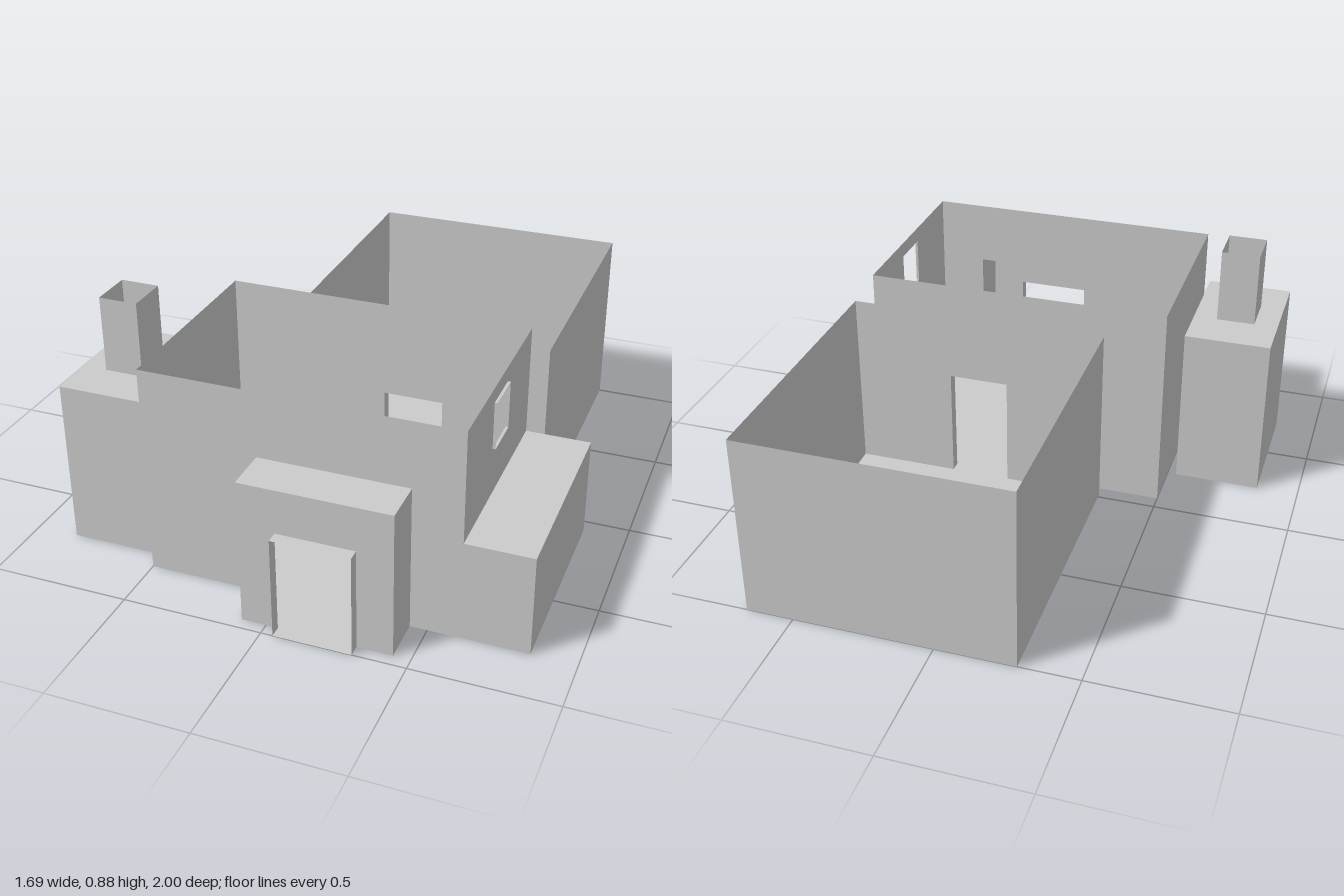
import * as THREE from 'three';

const material = new THREE.MeshStandardMaterial({ color: 0xcccccc, flatShading: true, side: THREE.DoubleSide });

// Thin flat panel in (u, v); doors notch the lower edge, windows are cut through.
function panel(u0, u1, v0, v1, doors = [], windows = []) {
  const shape = new THREE.Shape();
  shape.moveTo(u0, v0);
  for (const [a, b, top] of doors) {
    shape.lineTo(a, v0);
    shape.lineTo(a, top);
    shape.lineTo(b, top);
    shape.lineTo(b, v0);
  }
  shape.lineTo(u1, v0);
  shape.lineTo(u1, v1);
  shape.lineTo(u0, v1);
  shape.closePath();
  for (const [a, b, c, d] of windows) {
    const hole = new THREE.Path();
    hole.moveTo(a, c);
    hole.lineTo(a, d);
    hole.lineTo(b, d);
    hole.lineTo(b, c);
    hole.closePath();
    shape.holes.push(hole);
  }
  return new THREE.ShapeGeometry(shape);
}

// Box-like room of thin sheets. A side, floor or roof set to false is left open;
// an object gives its base height, doors and windows.
function room(name, [x0, x1], [y0, y1], [z0, z1], parts = {}) {
  const group = new THREE.Group();
  group.name = name;
  const add = (part, geometry) => {
    const mesh = new THREE.Mesh(geometry, material);
    mesh.name = `${name} ${part}`;
    group.add(mesh);
  };
  for (const side of ['front', 'back', 'left', 'right']) {
    const spec = parts[side] ?? {};
    if (spec === false) continue;
    const alongX = side === 'front' || side === 'back';
    const [u0, u1] = alongX ? [x0, x1] : [z0, z1];
    const geometry = panel(u0, u1, spec.base ?? y0, y1, spec.doors, spec.windows);
    if (alongX) geometry.translate(0, 0, side === 'front' ? z1 : z0);
    else geometry.rotateY(-Math.PI / 2).translate(side === 'left' ? x1 : x0, 0, 0);
    add(`${side} wall`, geometry);
  }
  for (const [part, y] of [['floor', y0], ['roof', y1]]) {
    const spec = parts[part] ?? {};
    if (spec === false) continue;
    add(part, panel(x0, x1, z0, z1, [], spec.windows).rotateX(Math.PI / 2).translate(0, y, 0));
  }
  return group;
}

export function createModel() {
  const model = new THREE.Group();
  model.name = 'house';

  // Shared opening sizes
  const porchX = [-0.087, 0.44], porchTop = 0.53;
  const doorX = [0.042, 0.316], doorTop = 0.37;
  const backPassX = [0.08, 0.3], backPassTop = 0.417;
  const sidePassZ = [0.48, 0.725], sidePassTop = 0.44;
  const windowZ = [0.353, 0.505], windowY = [0.545, 0.715];
  const flueX = [-0.76, -0.62], flueZ = [0.408, 0.563];
  const hallX = [-0.5, 0.612], hallZ = [0.057, 0.797];
  const alcoveTop = 0.367, kitchenTop = 0.605;

  model.add(
    // Main hall, open to the sky
    room('hall', hallX, [0, 0.77], hallZ, {
      roof: false,
      front: { doors: [[...porchX, porchTop]] },
      back: { doors: [[...backPassX, backPassTop]] },
      right: { doors: [[...sidePassZ, sidePassTop]] },
      left: { base: alcoveTop, windows: [[...windowZ, ...windowY]] },
    }),
    // Low roofed alcove that opens to the hall
    room('alcove', [hallX[1], 0.845], [0, alcoveTop], hallZ, { right: false }),
    // Shallow window reveal
    room('window reveal', [hallX[1], 0.622], windowY, windowZ, { left: false, right: false }),
    // Porch and door reveal
    room('porch', porchX, [0, porchTop], [hallZ[1], 0.957], {
      back: false, front: { doors: [[...doorX, doorTop]] },
    }),
    room('door reveal', doorX, [0, doorTop], [0.957, 1], { front: false, back: false }),
    // Large back room and the passage to it
    room('back passage', backPassX, [0, backPassTop], [0.015, hallZ[0]], { front: false, back: false }),
    room('back room', [-0.285, 0.67], [0, 0.675], [-1, 0.015], {
      roof: false, front: { doors: [[...backPassX, backPassTop]] },
    }),
    // Side room with its chimney, and the passage to it
    room('side passage', [-0.533, hallX[0]], [0, sidePassTop], sidePassZ, { left: false, right: false }),
    room('side room', [-0.847, -0.533], [0, kitchenTop], [0.24, 0.725], {
      left: { doors: [[...sidePassZ, sidePassTop]] },
      roof: { windows: [[...flueX, ...flueZ]] },
    }),
    room('chimney', flueX, [kitchenTop, 0.88], flueZ, { floor: false, roof: false }),
  );
  return model;
}
